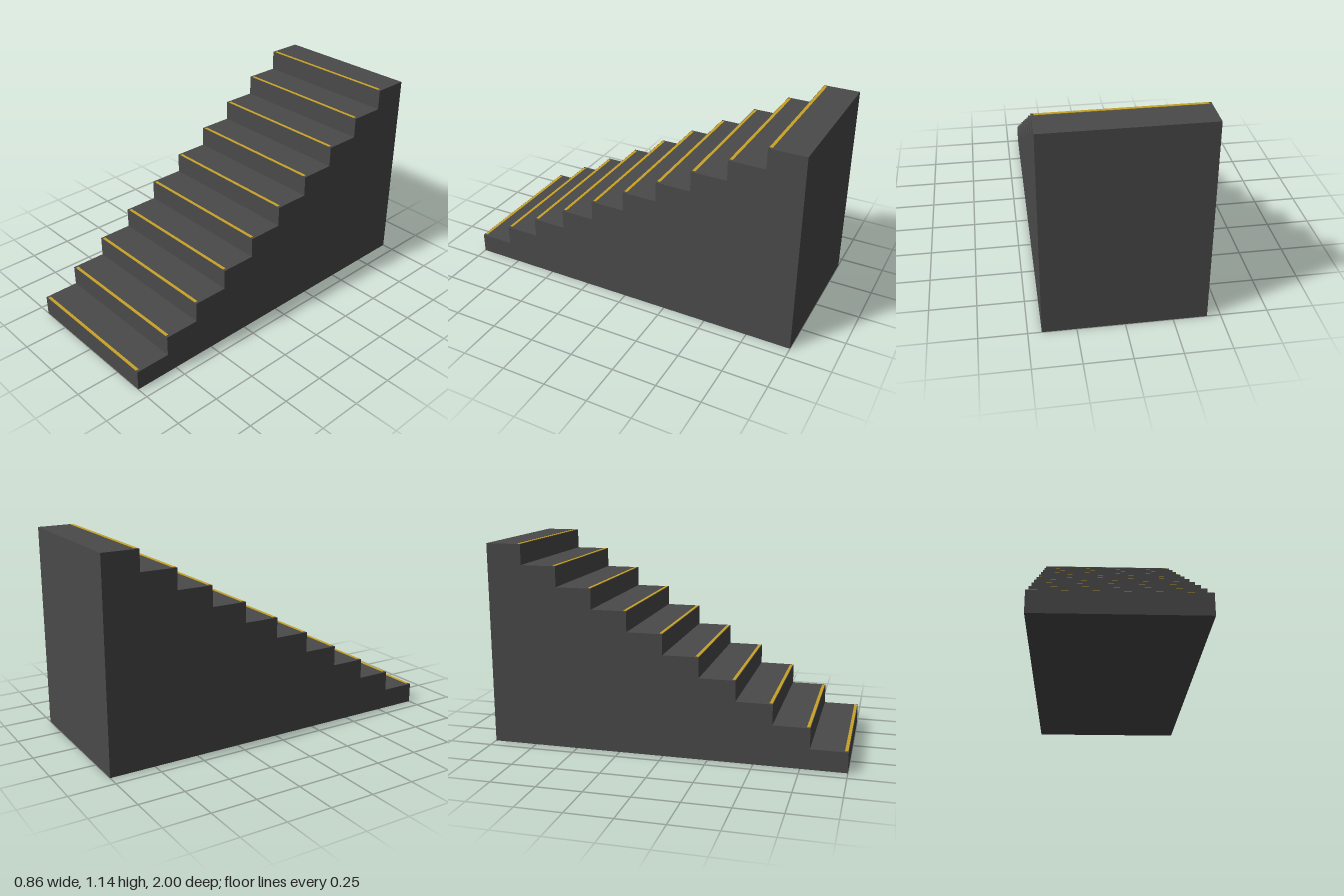
import * as THREE from 'three';

export function createModel() {
  const concrete = new THREE.MeshStandardMaterial({ color: 0x4a4a4a });
  concrete.name = 'dark concrete';
  const yellow = new THREE.MeshStandardMaterial({ color: 0xc9a227 });
  yellow.name = 'safety yellow';

  const steps = 10, width = 0.857, tread = 0.2, rise = 0.1141;
  const group = new THREE.Group();
  group.name = 'staircase';

  // Solid stair body: stepped side profile (shape x = model z) extruded across the width
  const profile = new THREE.Shape();
  profile.moveTo(-1, 0);
  profile.lineTo(1, 0);
  for (let i = 0; i < steps; i++) {
    profile.lineTo(1 - i * tread, (i + 1) * rise);
    profile.lineTo(1 - (i + 1) * tread, (i + 1) * rise);
  }
  profile.closePath();
  const bodyGeometry = new THREE.ExtrudeGeometry(profile, { depth: width, bevelEnabled: false });
  bodyGeometry.translate(0, 0, -width / 2).rotateY(-Math.PI / 2);
  const body = new THREE.Mesh(bodyGeometry, concrete);
  body.name = 'stairBody';
  group.add(body);

  // Thin warning strip just behind the front edge of every tread
  const stripGeometry = new THREE.BoxGeometry(0.828, 0.004, 0.017);
  for (let i = 0; i < steps; i++) {
    const strip = new THREE.Mesh(stripGeometry, yellow);
    strip.name = `edgeStrip${i + 1}`;
    strip.position.set(0, (i + 1) * rise, 1 - i * tread - 0.0115);
    group.add(strip);
  }
  return group;
}
